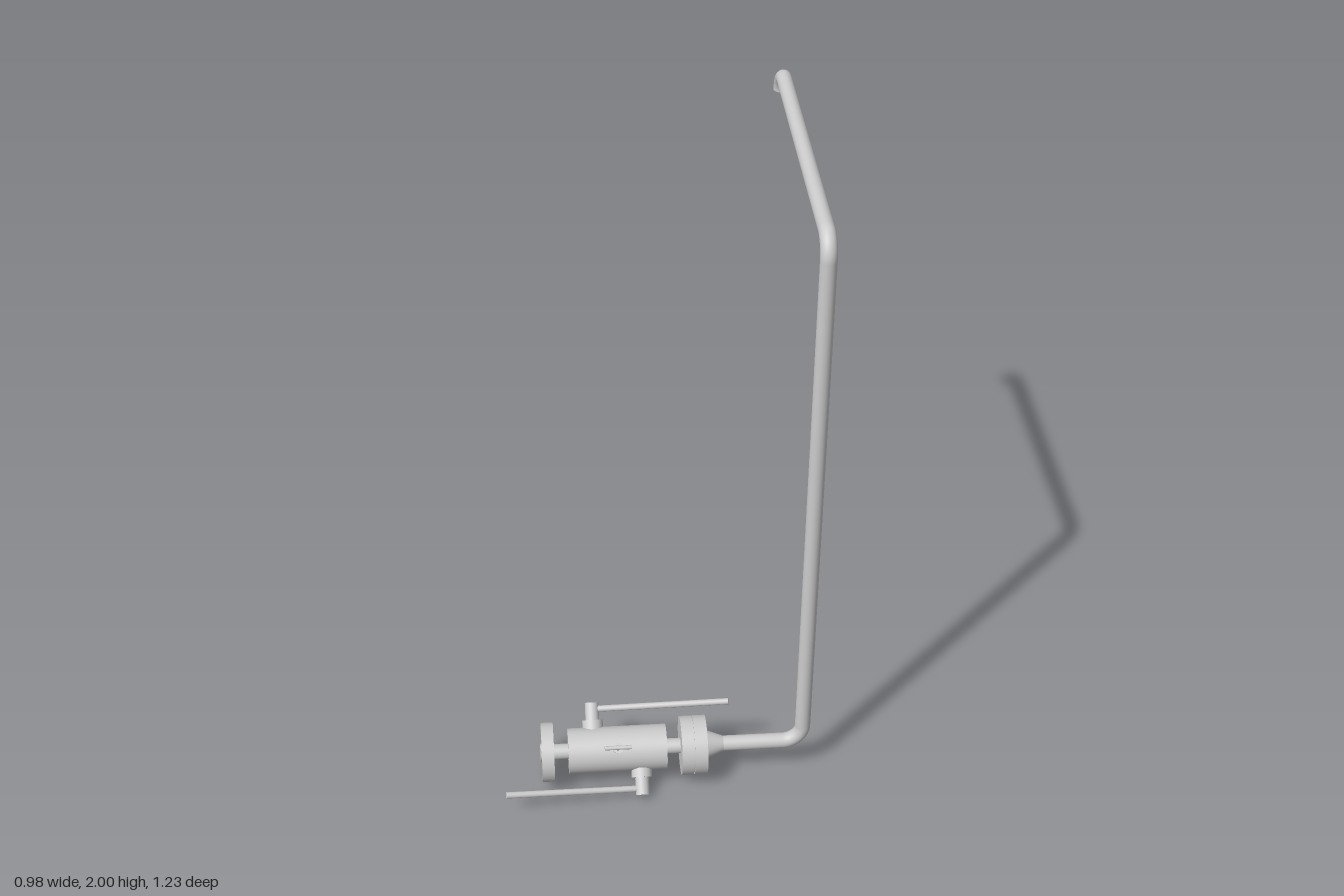
import * as THREE from 'three';

const AXIS_Y = 0.124, AXIS_Z = 0.463, PIPE_R = 0.0245;

export function createModel() {
  const model = new THREE.Group();
  model.name = 'valveAndStandpipe';
  const mat = new THREE.MeshStandardMaterial({ color: 0xcccccc });

  const add = (parent, name, geometry) => {
    const mesh = new THREE.Mesh(geometry, mat);
    mesh.name = name;
    parent.add(mesh);
    return mesh;
  };

  // Solid round bar between two points, optionally tapered
  const rod = (parent, name, a, b, ra, rb = ra, sides = 32) => {
    const from = new THREE.Vector3(...a), to = new THREE.Vector3(...b);
    const dir = to.clone().sub(from);
    const mesh = add(parent, name, new THREE.CylinderGeometry(rb, ra, dir.length(), sides));
    mesh.position.copy(from).add(to).multiplyScalar(0.5);
    mesh.quaternion.setFromUnitVectors(new THREE.Vector3(0, 1, 0), dir.normalize());
    return mesh;
  };

  // Parts on the horizontal valve axis: name, start x, end x, radius, end radius
  const inline = new THREE.Group();
  inline.name = 'valveBodyAssembly';
  inline.position.set(0, AXIS_Y, AXIS_Z);
  model.add(inline);
  [
    ['inletRaisedFace', -0.379, -0.37, 0.028],
    ['inletFlange', -0.375, -0.336, 0.094],
    ['inletNeck', -0.34, -0.285, PIPE_R],
    ['valveBody', -0.29, 0.024, 0.072],
    ['outletNeck', 0.02, 0.075, PIPE_R],
    ['outletFlange', 0.07, 0.108, 0.094],
    ['gasket', 0.106, 0.113, 0.088],
    ['pipeFlange', 0.111, 0.152, 0.094],
    ['reducer', 0.15, 0.208, 0.047, PIPE_R],
  ].forEach(([name, x0, x1, r0, r1 = r0]) =>
    rod(inline, name, [x0, 0, 0], [x1, 0, 0], r0, r1, 48));

  // Lever valves: local +y points out along the stem, local +z along the body's tangent
  const leverValve = (name, x, angle, side) => {
    const g = new THREE.Group();
    g.name = name;
    g.position.x = x;
    g.rotation.x = angle;
    inline.add(g);
    rod(g, 'stemBoss', [0, 0.05, 0], [0, 0.094, 0], 0.033);
    rod(g, 'stemHead', [0, 0.09, 0], [0, 0.15, 0], 0.022);
    rod(g, 'leverHandle', [0, 0.13, 0], [side * 0.434, 0.13, 0.075], 0.01, 0.01, 20);
    return g;
  };
  leverValve('rearLeverValve', -0.208, -Math.PI / 4, 1);
  const front = leverValve('frontLeverValve', -0.058, Math.PI * 0.75, -1);
  front.getObjectByName('leverHandle').removeFromParent();
  rod(front, 'leverHandle', [0, 0.13, 0], [-0.434, 0.13, -0.075], 0.01, 0.01, 20);

  // Small bleed valve with a T handle on the upper front
  const bleed = new THREE.Group();
  bleed.name = 'bleedValve';
  bleed.position.x = -0.133;
  bleed.rotation.x = Math.PI / 4;
  inline.add(bleed);
  rod(bleed, 'bleedBoss', [0, 0.05, 0], [0, 0.082, 0], 0.017);
  rod(bleed, 'bleedStem', [0, 0.08, 0], [0, 0.103, 0], 0.008, 0.008, 16);
  rod(bleed, 'bleedHandle', [-0.043, 0.103, 0], [0.043, 0.103, 0], 0.0065, 0.0065, 16);

  // Standpipe: straight runs joined by quarter-circle bends
  const pipe = new THREE.Group();
  pipe.name = 'standpipe';
  model.add(pipe);
  const R = 0.064, TOP = 2 - PIPE_R, PX = 0.463, END_Z = -0.59;
  const corners = [
    [0.2, AXIS_Y, AXIS_Z], [PX, AXIS_Y, AXIS_Z], [PX, TOP, AXIS_Z],
    [PX, TOP, END_Z], [PX, TOP - R, END_Z],
  ].map(p => new THREE.Vector3(...p));
  const K = 0.4477; // control point fraction giving a circular bend
  let start = corners[0];
  for (let i = 1; i < corners.length - 1; i++) {
    const c = corners[i];
    const before = corners[i - 1].clone().sub(c).setLength(R);
    const after = corners[i + 1].clone().sub(c).setLength(R);
    const a = c.clone().add(before), b = c.clone().add(after);
    add(pipe, 'pipeRun', new THREE.TubeGeometry(new THREE.LineCurve3(start, a), 1, PIPE_R, 32));
    add(pipe, 'pipeBend', new THREE.TubeGeometry(new THREE.CubicBezierCurve3(
      a, c.clone().addScaledVector(before, K), c.clone().addScaledVector(after, K), b), 16, PIPE_R, 32));
    start = b;
  }
  const cap = add(pipe, 'outletEnd', new THREE.CircleGeometry(PIPE_R, 32));
  cap.position.copy(start);
  cap.rotation.x = Math.PI / 2;

  return model;
}
